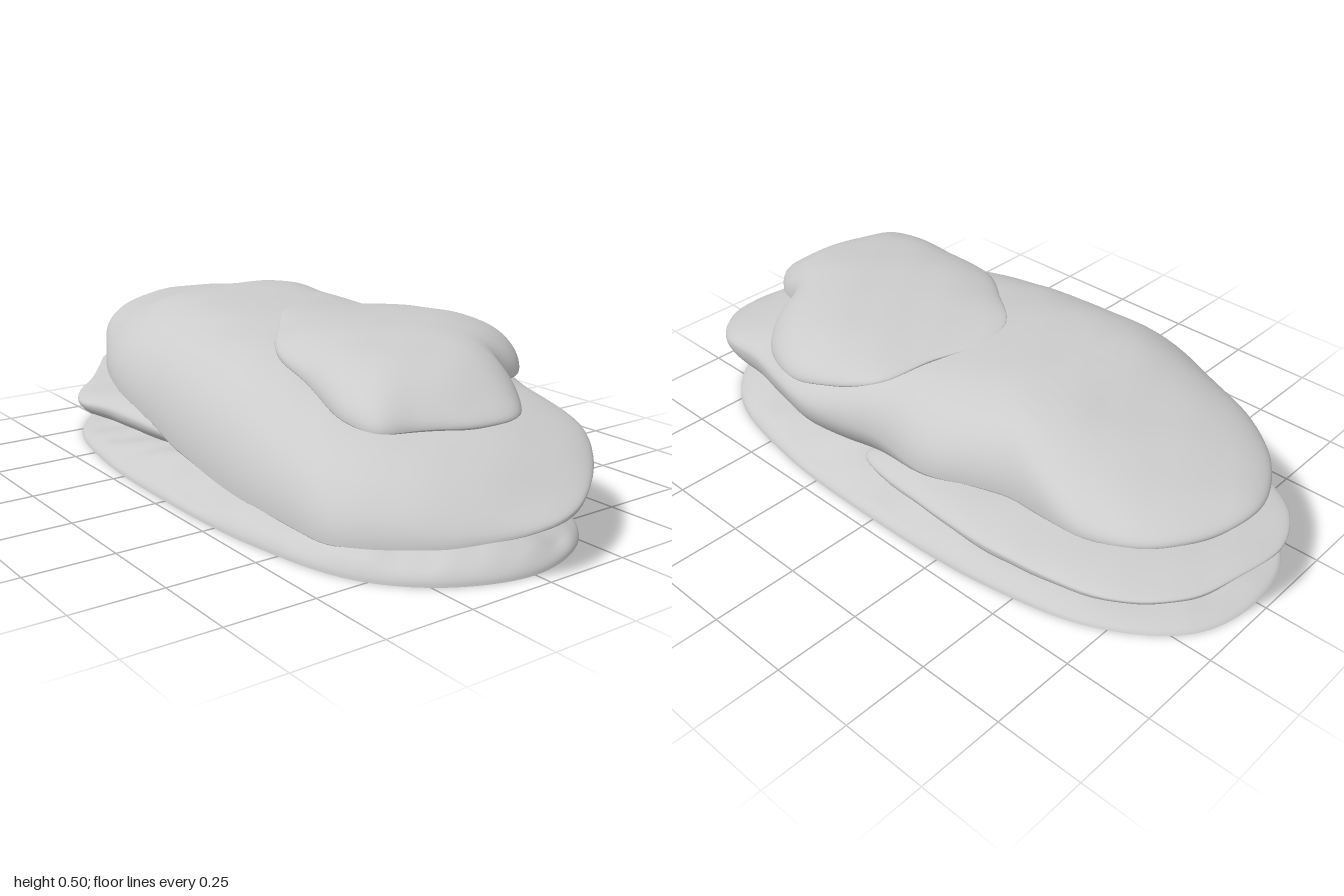
import * as THREE from 'three';

const rock = new THREE.MeshStandardMaterial({ color: 0xcccccc, side: THREE.DoubleSide });
const AROUND = 160, RINGS = 30;

// Height along x from [x, y] pairs, softened at the corners
function profile(pts) {
  const at = x => {
    if (x <= pts[0][0]) return pts[0][1];
    for (let i = 1; i < pts.length; i++) {
      const [x0, y0] = pts[i - 1], [x1, y1] = pts[i];
      if (x <= x1) return y0 + (y1 - y0) * (x - x0) / (x1 - x0);
    }
    return pts[pts.length - 1][1];
  };
  return x => (at(x - 0.06) + at(x - 0.02) + at(x + 0.02) + at(x + 0.06)) / 4;
}

// Closed smooth outline in the xz plane
function outline(pts) {
  const curve = new THREE.CatmullRomCurve3(
    pts.map(([x, z]) => new THREE.Vector3(x, 0, z)), true, 'centripetal');
  return curve.getPoints(AROUND).slice(0, AROUND);
}

// Outline with its notches averaged away, used for the inner rings
function smoothed(rim, reach = 14) {
  return rim.map((_, i) => {
    const sum = new THREE.Vector3();
    for (let k = -reach; k <= reach; k++) sum.add(rim[(i + k + AROUND) % AROUND]);
    return sum.divideScalar(2 * reach + 1);
  });
}

// Gentle, repeatable lumps
const lumps = (x, z) =>
  0.5 * Math.sin(7 * x + 4 * z + 1) * Math.cos(10 * z - 3 * x) +
  0.3 * Math.sin(13 * x + 2) * Math.cos(17 * z + 5 * x) +
  0.2 * Math.sin(29 * x + 1) * Math.sin(25 * z - 8 * x);

// Skin a list of closed rings
function loft(name, rings) {
  const pos = [], index = [];
  rings.forEach(r => r.forEach(p => pos.push(p.x, p.y, p.z)));
  for (let j = 0; j < rings.length - 1; j++)
    for (let i = 0; i < AROUND; i++) {
      const a = j * AROUND + i, b = j * AROUND + (i + 1) % AROUND;
      index.push(a, a + AROUND, b, b, a + AROUND, b + AROUND);
    }
  const g = new THREE.BufferGeometry();
  g.setAttribute('position', new THREE.Float32BufferAttribute(pos, 3));
  g.setIndex(index);
  g.computeVertexNormals();
  const mesh = new THREE.Mesh(g, rock);
  mesh.name = name;
  return mesh;
}

// Rounded slab: edge height, top and bottom are functions of x and z.
// The underside shrinks towards its own centre and may stop early, leaving a hole.
function slab(name, { edge, centre, underCentre = centre, hole = 0.001, mid, top, bottom, topPower, bottomPower }) {
  const rim = outline(edge), soft = smoothed(rim), rings = [];
  for (let j = 0; j <= 2 * RINGS; j++) {
    const upper = j <= RINGS;
    const t = Math.max(0.001, Math.sin(j / RINGS * Math.PI / 2));
    if (!upper && t < hole) break;
    const [cx, cz] = upper ? centre : underCentre;
    const bulge = Math.sqrt(Math.max(0, 1 - t ** (upper ? topPower : bottomPower)));
    rings.push(rim.map((p, i) => {
      const q = soft[i].clone().lerp(p, t ** 4);
      const x = cx + (q.x - cx) * t, z = cz + (q.z - cz) * t;
      const m = mid(x, z), goal = upper ? Math.max(top(x, z), m + 0.01) : Math.min(bottom(x, z), m - 0.01);
      const y = m + (goal - m) * bulge + lumps(x, z) * (upper ? 0.005 : 0.01);
      return new THREE.Vector3(x, y, z);
    }));
  }
  return loft(name, rings);
}

export function createModel() {
  const model = new THREE.Group();
  model.name = 'stackedRock';

  // Long sloping main slab, its back edge higher than its front, hollow underneath
  const mainMid = profile([[-1, 0.37], [-0.6, 0.31], [-0.2, 0.24], [0.2, 0.21], [0.6, 0.19], [1, 0.14]]);
  const mainTop = profile([[-1, 0.45], [-0.85, 0.455], [-0.6, 0.465], [-0.43, 0.505], [-0.1, 0.477],
    [0.2, 0.435], [0.5, 0.37], [0.8, 0.33], [0.9, 0.29], [1, 0.2]]);
  const mainBottom = profile([[-1, 0.33], [-0.8, 0.305], [-0.6, 0.27], [-0.25, 0.2], [0, 0.085], [0.3, 0.07],
    [0.8, 0.07], [1, 0.1]]);
  const tilt = profile([[-1, 0], [-0.2, 0.05], [0.3, 0.18], [1, 0.18]]);
  model.add(slab('mainSlab', {
    edge: [[1, -0.02], [0.93, 0.2], [0.83, 0.33], [0.7, 0.43], [0.5, 0.455], [0.2, 0.465], [-0.1, 0.45],
      [-0.4, 0.42], [-0.62, 0.32], [-0.76, 0.24], [-0.9, 0.1], [-0.98, -0.08], [-0.95, -0.24], [-0.85, -0.37],
      [-0.7, -0.42], [-0.45, -0.39], [-0.2, -0.45], [0, -0.43], [0.25, -0.485], [0.55, -0.41], [0.75, -0.37], [0.93, -0.2]],
    centre: [0, 0],
    underCentre: [0.5, 0.03],
    hole: 0.6,
    mid: (x, z) => mainMid(x) - tilt(x) * z,
    top: x => mainTop(x),
    bottom: (x, z) => mainBottom(x) + 0.12 * z * z,
    topPower: 3.5,
    bottomPower: 3,
  }));

  // Thin tongue below, leaving an open gap at the right end
  const lowMid = profile([[-1, 0.19], [-0.5, 0.175], [0, 0.16]]);
  const lowTop = profile([[-1, 0.22], [-0.6, 0.222], [0, 0.225]]);
  const lowBottom = profile([[-1, 0.155], [-0.8, 0.12], [-0.4, 0.085], [0.3, 0.08]]);
  model.add(slab('lowerSlab', {
    edge: [[-0.05, 0], [0, 0.25], [0.08, 0.39], [-0.2, 0.43], [-0.36, 0.45], [-0.47, 0.485], [-0.58, 0.44], [-0.68, 0.35],
      [-0.82, 0.25], [-0.94, 0.16], [-1, 0.03], [-0.98, -0.15], [-0.93, -0.29], [-0.8, -0.41], [-0.5, -0.465],
      [-0.2, -0.46], [0.08, -0.4], [0, -0.25]],
    centre: [-0.4, 0],
    mid: x => lowMid(x),
    top: x => lowTop(x),
    bottom: x => lowBottom(x),
    topPower: 4,
    bottomPower: 3.5,
  }));

  // Flat cap stone resting on the left half, open where it meets the slab
  const capMid = profile([[-0.1, 0.478], [0.2, 0.44], [0.5, 0.385], [0.8, 0.34]]);
  const capTop = profile([[-0.1, 0.488], [0.05, 0.492], [0.2, 0.5], [0.4, 0.498], [0.6, 0.485], [0.72, 0.46], [0.82, 0.39]]);
  const drop = z => 0.2 * z * z;
  model.add(slab('capStone', {
    edge: [[0.8, -0.07], [0.8, 0.05], [0.74, 0.2], [0.7, 0.29], [0.6, 0.31], [0.4, 0.27], [0.2, 0.23], [0.05, 0.12],
      [-0.08, 0], [-0.1, -0.12], [-0.05, -0.25], [0, -0.4], [0.12, -0.47], [0.26, -0.495], [0.42, -0.44],
      [0.53, -0.34], [0.59, -0.22], [0.7, -0.17]],
    centre: [0.34, -0.1],
    hole: 0.7,
    mid: (x, z) => capMid(x) - drop(z),
    top: (x, z) => capTop(x) - 0.3 * drop(z),
    bottom: (x, z) => capMid(x) - drop(z) - 0.035,
    topPower: 3,
    bottomPower: 3,
  }));

  // Open ground skirt, rising from the floor to a ragged hole under the slabs
  const foot = outline([[0.95, 0], [0.88, 0.22], [0.72, 0.37], [0.4, 0.45], [0, 0.47], [-0.4, 0.45],
    [-0.72, 0.37], [-0.92, 0.2], [-0.97, 0], [-0.92, -0.2], [-0.72, -0.36], [-0.4, -0.44], [0, -0.46],
    [0.4, -0.44], [0.72, -0.36], [0.88, -0.22]]);
  const hole = outline([[0.8, 0], [0.76, 0.18], [0.64, 0.28], [0.35, 0.33], [0.1, 0.28], [-0.05, 0.26],
    [-0.15, 0.17], [-0.24, 0.1], [-0.27, 0], [-0.2, -0.12], [-0.1, -0.2], [0, -0.28], [0.15, -0.24],
    [0.4, -0.25], [0.6, -0.2], [0.73, -0.14]]);
  const rings = [];
  for (let j = 0; j <= RINGS; j++) {
    const s = (j / RINGS) ** 1.5;
    rings.push(foot.map((p, i) => {
      const q = p.clone().lerp(hole[i], s);
      const h = q.x < -0.4 ? 0.09 + (q.x + 0.4) * 0.04 : 0.09;
      q.y = Math.max(0, h * s ** 0.5 + 0.014 * lumps(q.x * 1.6, q.z * 1.6) * Math.min(1, s * 5));
      return q;
    }));
  }
  model.add(loft('groundSkirt', rings.reverse()));

  return model;
}
